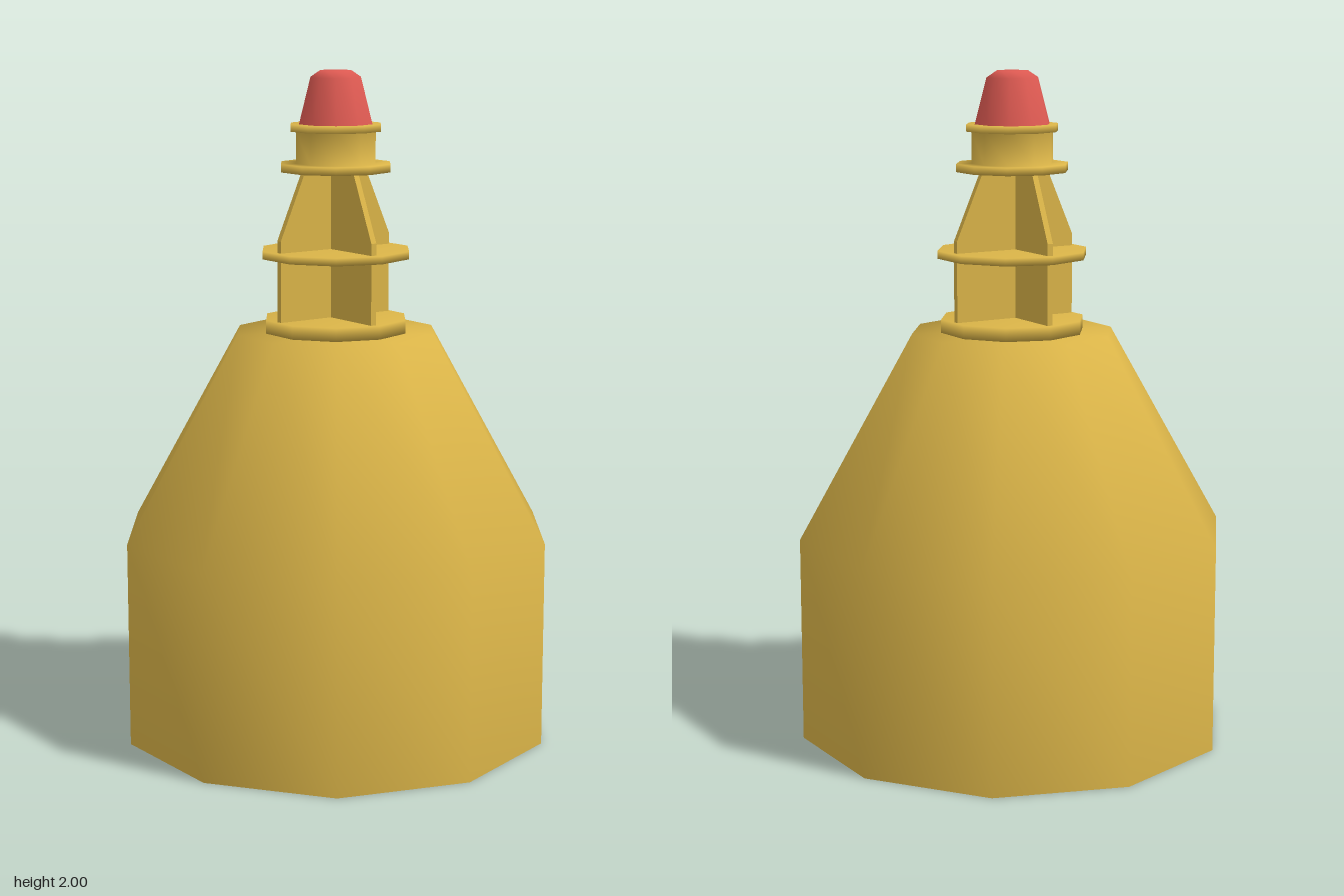
import * as THREE from 'three';

const SIDES = 10;

export function createModel() {
  const model = new THREE.Group();
  model.name = 'buoy';

  const yellow = new THREE.MeshStandardMaterial({ color: 0xdab448, side: THREE.DoubleSide });
  yellow.name = 'yellow paint';
  const red = new THREE.MeshStandardMaterial({ color: 0xde5a52 });
  red.name = 'red lamp';

  // Ten-sided turned part from [radius, height] pairs, listed upwards
  function turned(name, profile, material) {
    const points = profile.map(([r, y]) => new THREE.Vector2(r, y));
    const mesh = new THREE.Mesh(new THREE.LatheGeometry(points, SIDES), material);
    mesh.name = name;
    model.add(mesh);
  }

  // Float: open underneath, closed on top
  turned('float', [[0.65, 0], [0.65, 0.62], [0.305, 1.23], [0, 1.23]], yellow);

  // Flat collars around the tower
  const disc = (r, y0, y1) => [[0, y0], [r, y0], [r, y1], [0, y1]];
  turned('baseCollar', disc(0.217, 1.23, 1.27), yellow);
  turned('middleCollar', disc(0.227, 1.452, 1.475), yellow);

  // Neck with a flange at each end
  turned('neck', [
    [0, 1.706], [0.169, 1.706], [0.169, 1.73], [0.123, 1.73],
    [0.123, 1.824], [0.139, 1.824], [0.139, 1.845], [0, 1.845],
  ], yellow);

  // Lamp
  turned('lamp', [[0.113, 1.845], [0.078, 1.98], [0.048, 2], [0, 2]], red);

  // Two crossed tower plates, tapering towards the neck
  const thickness = 0.018;
  const outline = [[-0.199, 1.24], [0.199, 1.24], [0.199, 1.51], [0.11, 1.71], [-0.11, 1.71], [-0.199, 1.51]];
  const shape = new THREE.Shape(outline.map(([x, y]) => new THREE.Vector2(x, y)));
  const plate = new THREE.ExtrudeGeometry(shape, { depth: thickness, bevelEnabled: false });
  for (const [name, turn] of [['crossPlate', 0], ['lengthPlate', -Math.PI / 2]]) {
    const mesh = new THREE.Mesh(plate, yellow);
    mesh.name = name;
    mesh.rotation.y = turn;
    if (turn === 0) mesh.position.z = -thickness;
    model.add(mesh);
  }

  return model;
}
